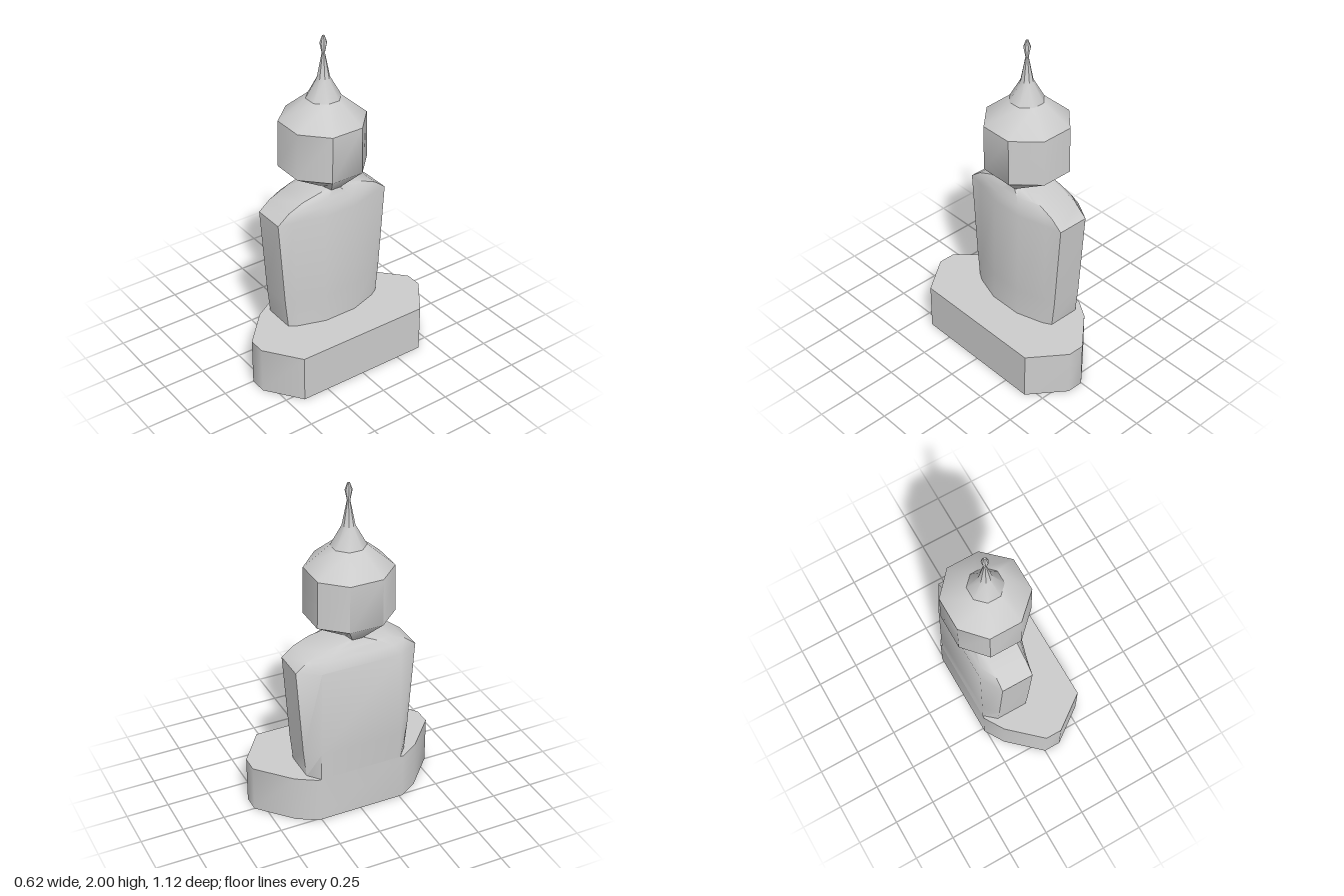
import * as THREE from 'three';
import { toCreasedNormals } from 'three/addons/utils/BufferGeometryUtils.js';

const material = new THREE.MeshStandardMaterial({ color: 0xcccccc });

// Mirrors half an outline (x, z from front to back) into a closed ring at height y
function ring(y, half) {
  const right = half.map(([x, z]) => [x, y, -z]);
  const left = half.map(([x, z]) => [x, y, z]).reverse();
  return [...right, ...left];
}

// Skins stacked rings and closes both ends
function loft(name, rings, crease = 0.775) {
  const n = rings[0].length;
  const index = [];
  for (let i = 0; i < rings.length - 1; i++) {
    for (let j = 0; j < n; j++) {
      const a = i * n + j, b = i * n + (j + 1) % n;
      index.push(a, b, b + n, a, b + n, a + n);
    }
  }
  const top = (rings.length - 1) * n;
  for (let j = 1; j < n - 1; j++) {
    index.push(0, j + 1, j);
    index.push(top, top + j, top + j + 1);
  }
  const geometry = new THREE.BufferGeometry();
  geometry.setAttribute('position', new THREE.Float32BufferAttribute(rings.flat(2), 3));
  geometry.setIndex(index);
  const mesh = new THREE.Mesh(toCreasedNormals(geometry, crease), material);
  mesh.name = name;
  return mesh;
}

export function createModel() {
  const model = new THREE.Group();
  model.name = 'seatedStatue';

  // Plinth formed by the crossed legs, widest across z
  const plan = [[0.305, 0.41], [0.1, 0.56], [0, 0.56], [-0.19, 0.385], [-0.26, 0.27]];
  model.add(loft('legBase', [ring(0, plan), ring(0.285, plan)]));

  // Torso: height, front x, chest corner x and z, side z, back x and z, front half width
  const torso = [
    [0.28, 0.08, 0.03, 0.26, 0.31, -0.26, 0.25, 0.1],
    [0.45, 0.072, 0.022, 0.265, 0.328, -0.26, 0.25, 0.1],
    [0.985, 0.068, 0.02, 0.27, 0.365, -0.26, 0.24, 0.1],
    [1.04, 0.055, 0.015, 0.24, 0.295, -0.237, 0.2, 0.08],
    [1.08, 0.042, 0.01, 0.16, 0.2, -0.22, 0.13, 0.06],
    [1.12, 0.03, 0.01, 0.04, 0.05, -0.2, 0.03, 0.025],
  ].map(([y, fx, cx, cz, w, bx, bz, fz]) =>
    ring(y, [[fx, fz], [cx, cz], [y > 1.1 ? -0.02 : 0, w], [y > 1.1 ? -0.15 : -0.19, w], [bx, bz]]));
  model.add(loft('torso', torso));

  // Eight-sided head pinched at the neck
  const face = [[0.14, 0.1], [0, 0.235], [-0.19, 0.235], [-0.31, 0.1]];
  const neck = [[0.03, 0.03], [-0.03, 0.045], [-0.14, 0.045], [-0.2, 0.03]];
  const cx = -0.085;
  const octagon = (r) => [1, 3, 5, 7].map((k) => {
    const a = k * Math.PI / 8;
    return [cx + r * Math.cos(a), r * Math.sin(a)];
  });
  model.add(loft('head', [
    ring(1.115, neck), ring(1.235, face), ring(1.515, face.map(([x, z]) => [x, z * 0.975])),
    ring(1.64, octagon(0.1)),
  ]));

  // Slender finial with a small bud at the tip
  const profile = [[1.64, 0.1], [1.755, 0.037], [1.9, 0.009], [1.96, 0.021], [2, 0.007]];
  model.add(loft('finial', profile.map(([y, r]) => ring(y, octagon(r))), 0.7));

  return model;
}
